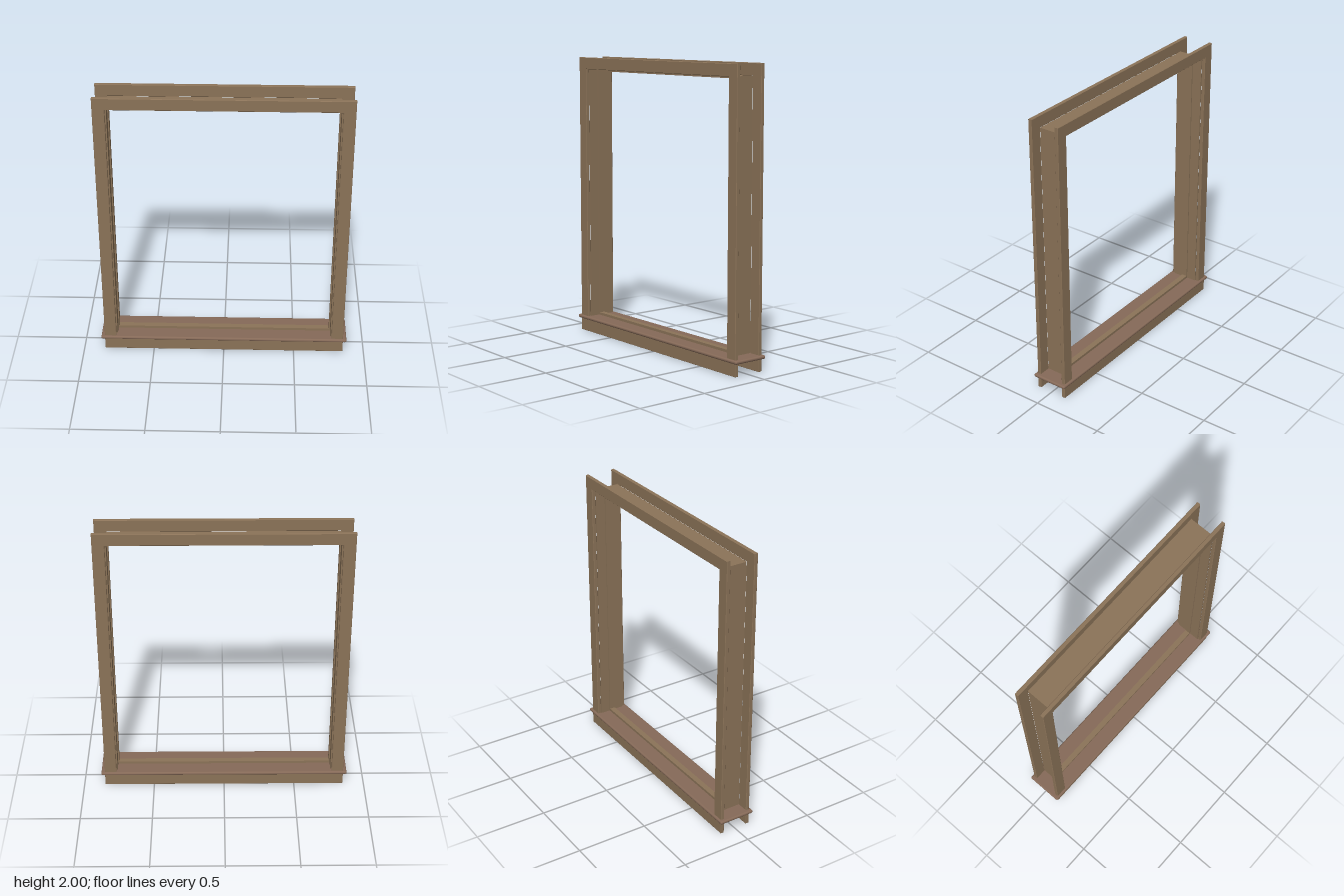
import * as THREE from 'three';
import { RoundedBoxGeometry } from 'three/addons/geometries/RoundedBoxGeometry.js';

const SILL_TOP = 0.112;

// Three-sided frame (two legs and a head) standing on the sill, centred on z.
function archGeometry(outerX, outerTop, innerX, innerTop, depth, bevel = 0) {
  const o = outerX - bevel, t = outerTop - bevel, i = innerX + bevel, u = innerTop + bevel;
  const shape = new THREE.Shape([
    [-o, SILL_TOP], [-i, SILL_TOP], [-i, u], [i, u],
    [i, SILL_TOP], [o, SILL_TOP], [o, t], [-o, t],
  ].map(([x, y]) => new THREE.Vector2(x, y)));
  const geometry = new THREE.ExtrudeGeometry(shape, {
    depth: depth - 2 * bevel,
    bevelEnabled: bevel > 0,
    bevelSize: bevel,
    bevelThickness: bevel,
    bevelSegments: 1,
  });
  return geometry.translate(0, 0, -depth / 2 + bevel);
}

export function createModel() {
  const group = new THREE.Group();
  const wood = new THREE.MeshStandardMaterial({ color: 0x8b7358 });
  const sillWood = new THREE.MeshStandardMaterial({ color: 0x866a58 });

  const add = (name, geometry, y = 0, z = 0, material = wood) => {
    const mesh = new THREE.Mesh(geometry, material);
    mesh.name = name;
    mesh.position.set(0, y, z);
    group.add(mesh);
  };

  // Jamb lining the opening
  add('jamb', archGeometry(0.768, 1.917, 0.76, 1.909, 0.18));

  // Stop strip around the middle of the jamb and across the sill
  add('stop', archGeometry(0.762, 1.911, 0.752, 1.901, 0.04));
  add('sillStop', new THREE.BoxGeometry(1.52, 0.022, 0.04), 0.119);

  // Sill board with rounded edges
  add('sill', new RoundedBoxGeometry(1.75, 0.024, 0.26, 3, 0.011), 0.1, 0, sillWood);

  // Casing and apron on both faces
  const casing = archGeometry(0.85, 2, 0.768, 1.917, 0.026, 0.003);
  const apron = new RoundedBoxGeometry(1.7, 0.092, 0.026, 1, 0.003);
  for (const [side, s] of [['front', 1], ['back', -1]]) {
    add(side + 'Casing', casing, 0, s * 0.102);
    add(side + 'Apron', apron, 0.046, s * 0.102);
  }
  return group;
}
